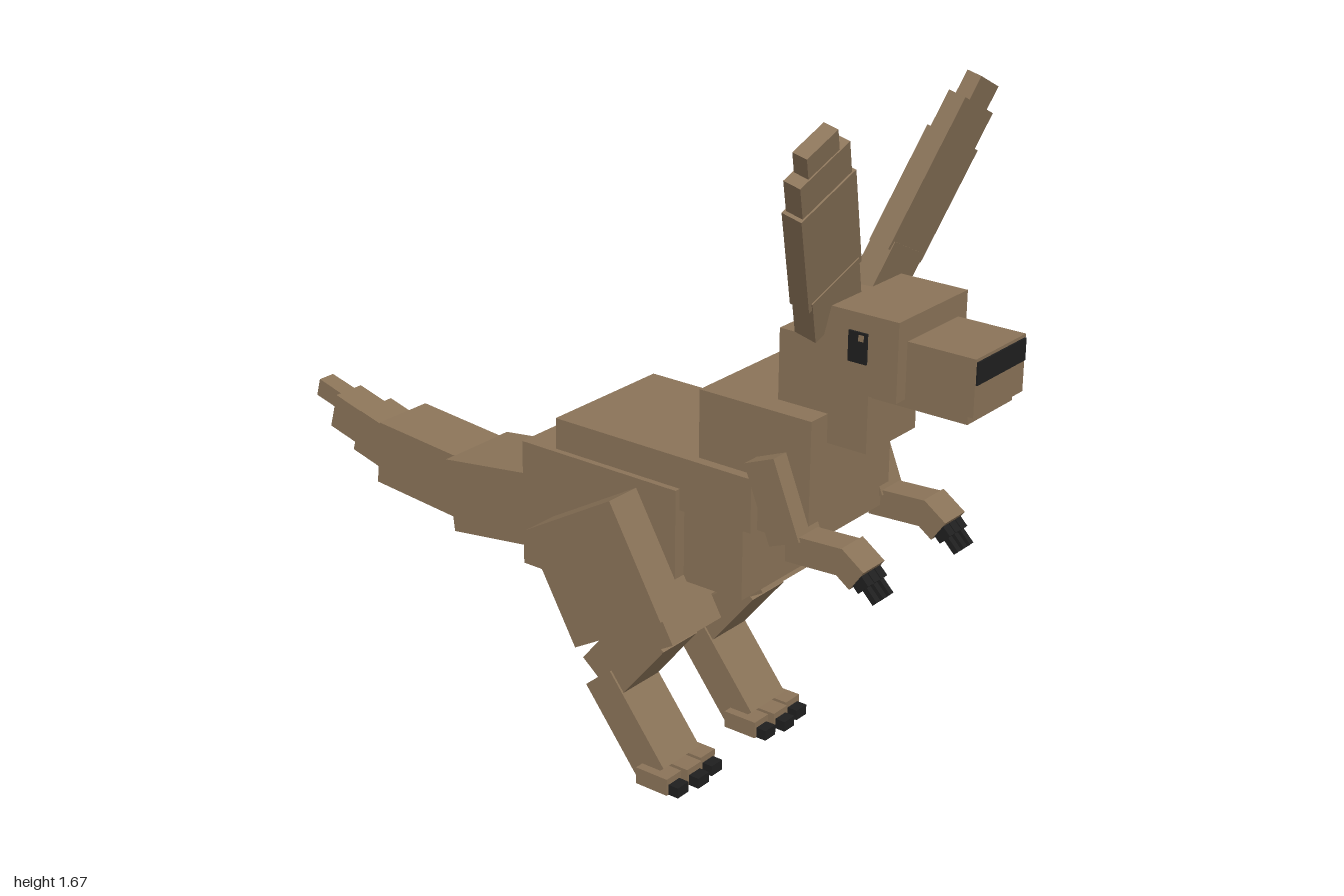
import * as THREE from 'three';

const fur = new THREE.MeshStandardMaterial({ color: 0x8a7358 });
fur.name = 'brown fur';
const dark = new THREE.MeshStandardMaterial({ color: 0x1f1f1f });
dark.name = 'black claw';

// Box by centre and size, pitched about x (degrees)
function box(parent, name, [x, y, z], [w, h, d], pitch = 0, mat = fur) {
  const m = new THREE.Mesh(new THREE.BoxGeometry(w, h, d), mat);
  m.name = name;
  m.position.set(x, y, z);
  m.rotation.x = THREE.MathUtils.degToRad(pitch);
  parent.add(m);
  return m;
}

// Box symmetric in x, given by its y and z ranges
function block(parent, name, w, y0, y1, z0, z1, mat = fur) {
  return box(parent, name, [0, (y0 + y1) / 2, (z0 + z1) / 2], [w, y1 - y0, z1 - z0], 0, mat);
}

function group(parent, name) {
  const g = new THREE.Group();
  g.name = name;
  parent.add(g);
  return g;
}

function addLeg(root, side, label) {
  const leg = group(root, label + 'Leg');
  const x = side * 0.17;
  box(leg, 'thigh', [x, 0.52, 0.147], [0.24, 0.293, 0.287], -30);
  box(leg, 'knee', [x, 0.44, 0.217], [0.18, 0.21, 0.2], -30);
  box(leg, 'shank', [x, 0.31, 0.19], [0.125, 0.22, 0.127], 39);
  box(leg, 'lowerLeg', [x, 0.13, 0.2], [0.136, 0.255, 0.092], -38.5);
  // Three toes, each with a claw
  for (const i of [-1, 0, 1]) {
    const f = i === 0 ? 0.01 : 0;
    box(leg, 'toe', [x + i * 0.064, 0.03, 0.298 + f], [0.054, 0.042, 0.09], 0);
    box(leg, 'toeClaw', [x + i * 0.064, 0.022, 0.352 + f], [0.04, 0.026, 0.036], 0, dark);
  }
}

function addArm(root, side, label) {
  const arm = group(root, label + 'Arm');
  const x = side * 0.16;
  box(arm, 'upperArm', [x, 0.79, 0.574], [0.082, 0.19, 0.083], -22);
  box(arm, 'forearm', [x, 0.697, 0.683], [0.07, 0.064, 0.15], -3);
  box(arm, 'hand', [x, 0.692, 0.768], [0.08, 0.06, 0.07], 35);
  for (const i of [-1, 0, 1]) {
    box(arm, 'finger', [x + i * 0.025, 0.667, 0.8], [0.022, 0.035, 0.035], 45, dark);
    box(arm, 'fingerClaw', [x + i * 0.025, 0.645, 0.824], [0.014, 0.014, 0.045], 45, dark);
  }
}

function addEar(root, side, label) {
  const ear = group(root, label + 'Ear');
  ear.position.set(side * 0.086, 1.2, 0.627);
  ear.rotation.set(THREE.MathUtils.degToRad(13.6), 0, -side * THREE.MathUtils.degToRad(26));
  // Tapering stack: start, end, width, thickness
  const parts = [
    ['earBase', 0, 0.12, 0.158, 0.055],
    ['earMiddle', 0.1, 0.37, 0.178, 0.05],
    ['earUpper', 0.36, 0.455, 0.16, 0.042],
    ['earTip', 0.45, 0.51, 0.1, 0.036],
  ];
  for (const [name, s0, s1, w, t] of parts) {
    box(ear, name, [0, (s0 + s1) / 2, 0], [w, s1 - s0, t]);
  }
}

export function createModel() {
  const root = new THREE.Group();
  root.name = 'longEaredAnimal';

  // Body
  block(root, 'hips', 0.39, 0.43, 0.742, -0.14, 0.31);
  block(root, 'back', 0.36, 0.69, 0.818, -0.05, 0.505);
  block(root, 'belly', 0.325, 0.51, 0.7, 0.2, 0.472);
  block(root, 'chest', 0.31, 0.69, 0.98, 0.343, 0.64);
  block(root, 'neck', 0.19, 0.913, 1.145, 0.51, 0.74);

  // Head
  const head = group(root, 'head');
  block(head, 'skull', 0.262, 1.062, 1.24, 0.575, 0.832);
  block(head, 'snout', 0.194, 1.062, 1.19, 0.82, 0.996);
  block(head, 'jaw', 0.176, 1.04, 1.065, 0.745, 0.978);
  block(head, 'nose', 0.188, 1.133, 1.183, 0.991, 1.0, dark);

  // Tail, from root to tip: y, z, width, height, length, pitch
  const tail = group(root, 'tail');
  const segments = [
    [0.507, -0.3, 0.224, 0.187, 0.306, -7.5],
    [0.508, -0.592, 0.166, 0.166, 0.262, 5],
    [0.53, -0.775, 0.11, 0.118, 0.105, 15],
    [0.556, -0.866, 0.088, 0.094, 0.11, 15],
    [0.6, -0.954, 0.048, 0.048, 0.08, 15],
  ];
  for (const [y, z, w, h, l, pitch] of segments) {
    box(tail, 'tailSegment', [0, y, z], [w, h, l], pitch);
  }

  // Paired parts
  for (const [side, label] of [[1, 'left'], [-1, 'right']]) {
    box(head, label + 'Eye', [side * 0.132, 1.165, 0.735], [0.008, 0.068, 0.046], 0, dark);
    box(head, label + 'EyeGlint', [side * 0.134, 1.187, 0.744], [0.006, 0.014, 0.013]);
    addEar(head, side, label);
    addArm(root, side, label);
    addLeg(root, side, label);
  }
  return root;
}
